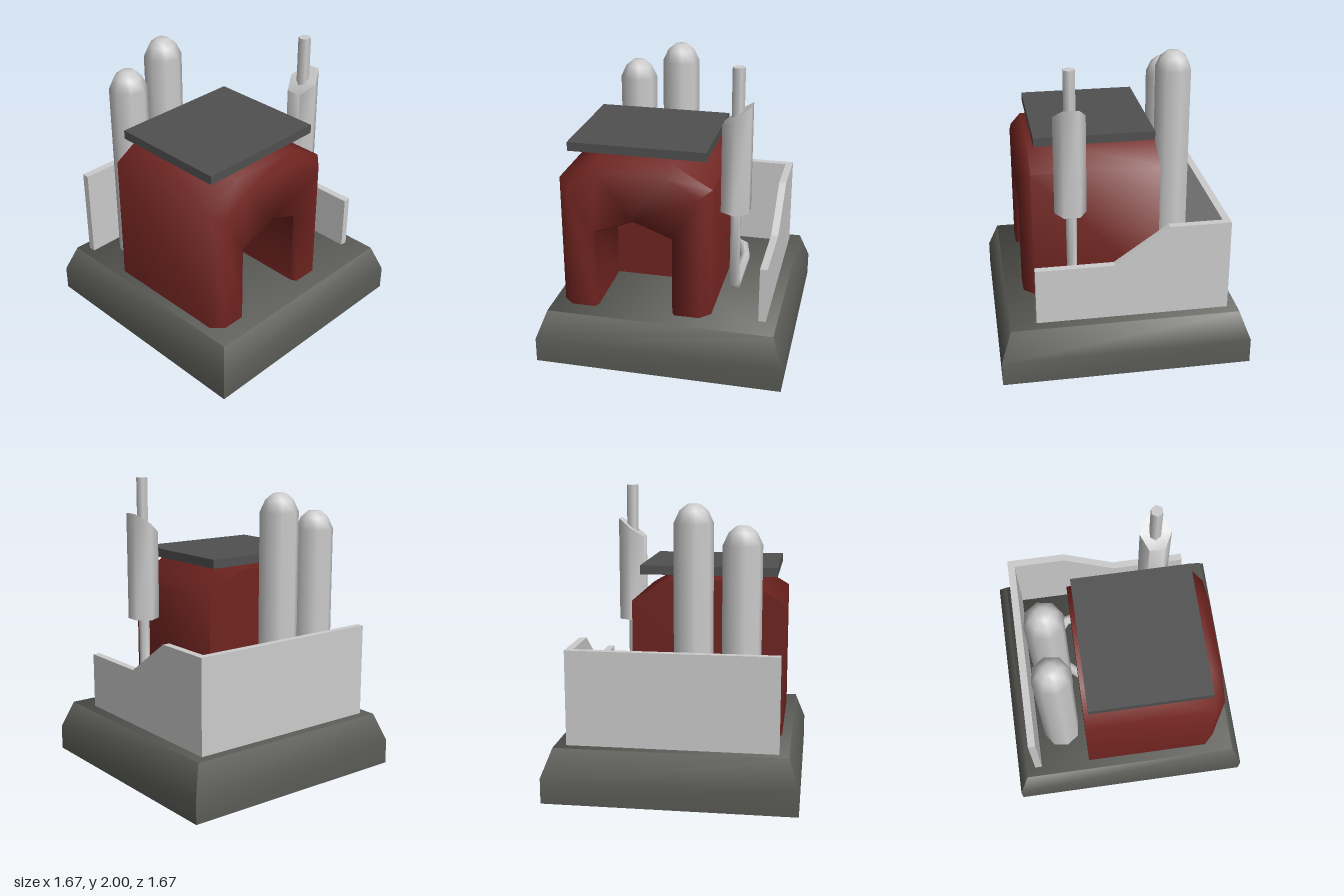
import * as THREE from 'three';
import { toCreasedNormals, mergeVertices } from 'three/addons/utils/BufferGeometryUtils.js';

const material = (color) => new THREE.MeshStandardMaterial({ color, side: THREE.DoubleSide });
const metal = material(0xcccccc);
const stone = material(0x595955);
const slate = material(0x505050);
const brick = material(0x702420);

// Skin a series of equal-length rings, capping both ends.
function loft(rings, closed, crease) {
  const n = rings[0].length, index = [];
  const last = (rings.length - 1) * n;
  for (let i = 0; i < rings.length - 1; i++) {
    for (let j = 0; j < (closed ? n : n - 1); j++) {
      const k = (j + 1) % n;
      const a = i * n + j, b = i * n + k, c = b + n, d = a + n;
      index.push(a, d, b, b, d, c);
    }
  }
  for (let j = 1; j < n - 1; j++) {
    index.push(0, j, j + 1, last, last + j + 1, last + j);
  }
  const geometry = new THREE.BufferGeometry();
  geometry.setAttribute('position', new THREE.Float32BufferAttribute(rings.flat(2), 3));
  geometry.setIndex(index);
  return toCreasedNormals(geometry, crease);
}

// Path with straight runs between its points.
class Polyline extends THREE.Curve {
  constructor(points) {
    super();
    this.points = points.map((p) => new THREE.Vector3(...p));
  }
  at(i) {
    return this.points[THREE.MathUtils.clamp(i, 0, this.points.length - 1)];
  }
  getPointAt(u, target = new THREE.Vector3()) {
    return target.copy(this.at(Math.round(u * (this.points.length - 1))));
  }
  getTangentAt(u, target = new THREE.Vector3()) {
    const i = Math.round(u * (this.points.length - 1));
    const before = this.at(i).clone().sub(this.at(i - 1)).normalize();
    const after = this.at(i + 1).clone().sub(this.at(i)).normalize();
    return target.copy(before).add(after).normalize();
  }
}

export function createModel() {
  const model = new THREE.Group();
  const add = (name, geometry, mat, x = 0, y = 0, z = 0) => {
    const mesh = new THREE.Mesh(geometry, mat);
    mesh.name = name;
    mesh.position.set(x, y, z);
    model.add(mesh);
    return mesh;
  };

  // Square foundation with a tapered upper edge
  const square = (h, y) => [[-h, y, -h], [h, y, -h], [h, y, h], [-h, y, h]];
  add('foundation', loft([square(0.835, 0), square(0.835, 0.17), square(0.765, 0.36)], true, 1.45), stone);

  // Furnace body: outer shell, chamfered front, then the arched recess
  const floor = 0.36;
  const at = (profile, z) => profile.map(([x, y]) => [x, y, z]);
  const shell = [[-0.7, floor], [-0.7, 1.26], [-0.45, 1.41], [0.06, 1.41], [0.32, 1.26], [0.32, floor]];
  const face = [[-0.63, floor], [-0.63, 1.22], [-0.43, 1.34], [0.04, 1.34], [0.25, 1.22], [0.25, floor]];
  const arch = (g) => [[-0.45 - g, floor], [-0.45 - g, 0.9 + g], [-0.2, 1 + g],
    [-0.19, 1 + g], [0.06 + g, 0.9 + g], [0.06 + g, floor]];
  add('furnaceBody', loft([
    at(shell, -0.3), at(shell, 0.57), at(face, 0.64),
    at(arch(0.02), 0.64), at(arch(0), 0.6), at(arch(0), 0.12),
  ], false, 1.2), brick);

  // Roof plate hovering just over the furnace
  add('roofPlate', new THREE.BoxGeometry(0.92, 0.06, 0.81), slate, -0.19, 1.465, 0.135);

  // Two domed tanks
  const tank = (name, x, top) => {
    const profile = [[0.13, floor], [0.13, top - 0.12], [0.093, top - 0.04], [0.045, top], [0, top]];
    const geometry = new THREE.LatheGeometry(profile.map((p) => new THREE.Vector2(...p)), 8, 0.23);
    add(name, geometry, metal, x, 0, -0.47);
  };
  tank('shortTank', -0.435, 1.785);
  tank('tallTank', -0.12, 1.92);

  // Exhaust pipe from the back of the furnace round to the chimney
  const y = 0.44;
  const path = [[-0.09, y, -0.24], [0.06, y, -0.41], [0.255, y, -0.445], [0.39, y, -0.335],
    [0.43, y, -0.15], [0.43, y, 0.27], [0.43, 0.49, 0.318], [0.43, 1.05, 0.318]];
  add('exhaustPipe', new THREE.TubeGeometry(new Polyline(path), path.length - 1, 0.037, 6), metal);

  // Six-sided chimney with a slanted top
  const chimney = new THREE.CylinderGeometry(0.107, 0.107, 0.67, 6);
  const pos = chimney.attributes.position;
  for (let i = 0; i < pos.count; i++) {
    if (pos.getY(i) > 0) pos.setY(i, 0.335 + pos.getX(i) * 0.72);
  }
  add('chimney', toCreasedNormals(chimney, 1.1), metal, 0.43, 1.36, 0.322);
  const flue = new THREE.CylinderGeometry(0.042, 0.042, 0.6, 6, 1, false, Math.PI / 6);
  add('flue', flue, metal, 0.43, 1.7, 0.318);

  // Low wall along the back and the stepped wall on the left
  add('backWall', new THREE.BoxGeometry(1.34, 0.635, 0.05), metal, -0.03, 0.6775, -0.675);
  const outline = new THREE.Shape([[-0.59, floor], [0.7, floor], [0.7, 0.995], [0.29, 0.995],
    [-0.07, 0.745], [-0.59, 0.745]].map((p) => new THREE.Vector2(...p)));
  const sideWall = new THREE.ExtrudeGeometry(outline, { depth: 0.05, bevelEnabled: false });
  add('sideWall', sideWall, metal, 0.64).rotation.y = Math.PI / 2;

  return model;
}
